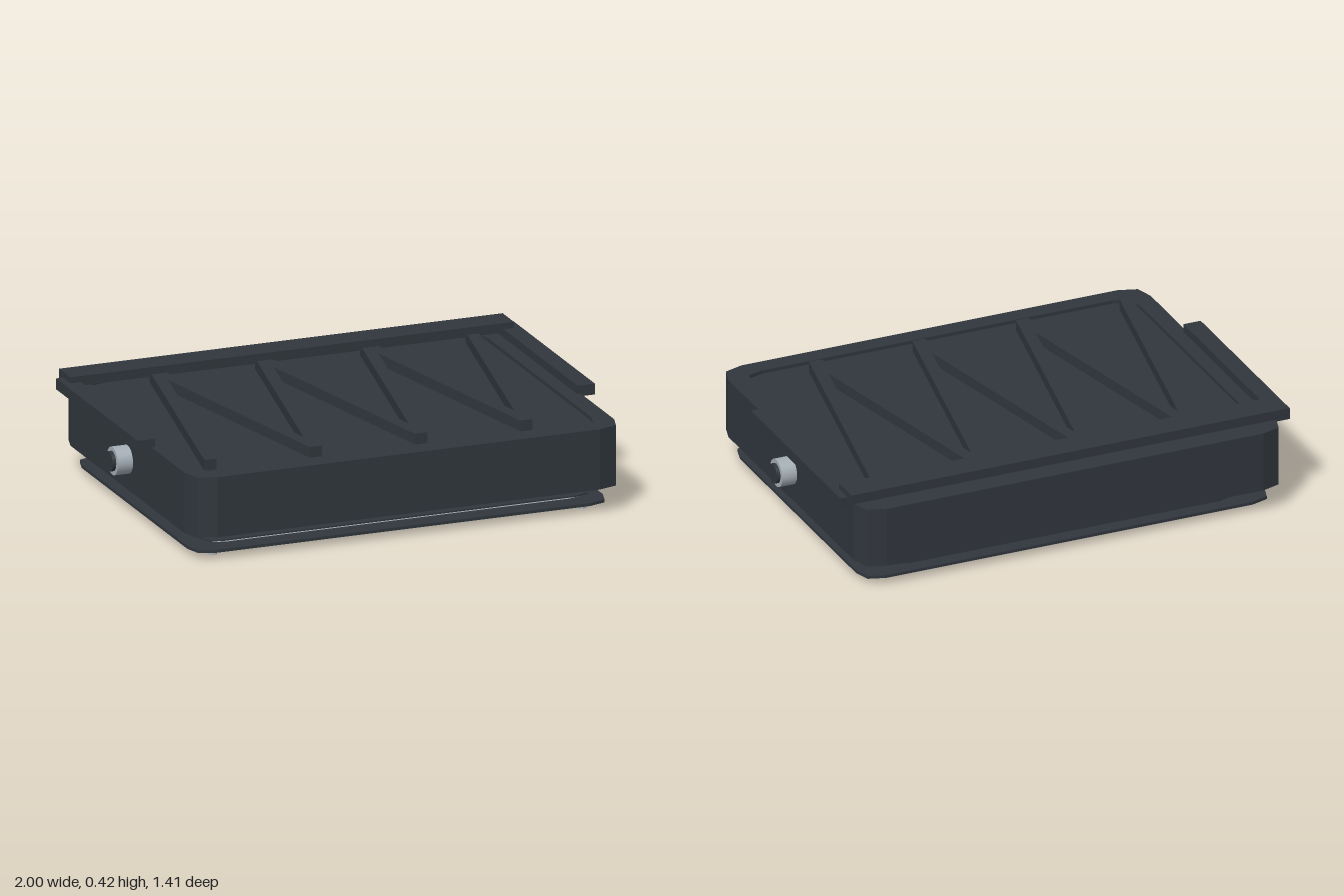
import * as THREE from 'three';

const DARK = new THREE.MeshStandardMaterial({ color: 0x30363d, flatShading: true });
const SILVER = new THREE.MeshStandardMaterial({ color: 0xa4adb5 });
const PALE = new THREE.MeshStandardMaterial({ color: 0xbcc0c3 });

// Corner-cut rectangle outline: hx, hz half sizes, each corner cut in two facets
function outline(hx, hz, c = 0.1, type = THREE.Shape) {
  const quarter = [[hx, hz - c], [hx - c * 0.22, hz - c * 0.25], [hx - c, hz]];
  const mirrored = quarter.slice().reverse();
  const pts = [
    ...quarter,
    ...mirrored.map(([x, z]) => [-x, z]),
    ...quarter.map(([x, z]) => [-x, -z]),
    ...mirrored.map(([x, z]) => [x, -z]),
  ];
  return new type(pts.map(([x, z]) => new THREE.Vector2(x, z)));
}

// Slab lying flat between heights y0 and y1
function slab(shape, y0, y1) {
  const g = new THREE.ExtrudeGeometry(shape, { depth: y1 - y0, bevelEnabled: false });
  return g.rotateX(-Math.PI / 2).translate(0, y0, 0);
}

function ring(outer, inner) {
  const s = outline(...outer);
  s.holes.push(outline(...inner, THREE.Path));
  return s;
}

export function createModel() {
  const model = new THREE.Group();
  const add = (name, geometry, material = DARK, parent = model) => {
    const mesh = new THREE.Mesh(geometry, material);
    mesh.name = name;
    parent.add(mesh);
    return mesh;
  };
  const box = (x0, x1, y0, y1, z0, z1) =>
    new THREE.BoxGeometry(x1 - x0, y1 - y0, z1 - z0)
      .translate((x0 + x1) / 2, (y0 + y1) / 2, (z0 + z1) / 2);

  // Housing with a shallow recess on top
  add('housing', slab(outline(0.92, 0.705, 0.1), 0.108, 0.345));
  add('topRim', slab(ring([0.92, 0.705, 0.1], [0.845, 0.63, 0.08]), 0.345, 0.36));

  // Zigzag ribs: seven slanted bars between front and rear tips
  const ribs = new THREE.Group();
  ribs.name = 'zigzagRibs';
  model.add(ribs);
  const w = 0.026, zTip = 0.57;
  for (let i = 0; i < 7; i++) {
    const x0 = -0.795 + 0.2257 * i, x1 = x0 + 0.2257;
    const s = i % 2 ? 1 : -1; // shape y is -z
    const bar = new THREE.Shape([
      new THREE.Vector2(x0 - w, s * zTip), new THREE.Vector2(x0 + w, s * zTip),
      new THREE.Vector2(x1 + w, -s * zTip), new THREE.Vector2(x1 - w, -s * zTip),
    ]);
    add('rib', slab(bar, 0.34, 0.39), DARK, ribs);
  }

  // Rear crossbar and side rails
  add('rearBar', box(-0.95, 0.95, 0.38, 0.42, -0.65, -0.53));
  for (const s of [-1, 1]) {
    const a = s * 0.905, b = s * 0.98;
    add('sideRail', box(Math.min(a, b), Math.max(a, b), 0.35, 0.395, -0.61, 0.255));

    // Pivot: bright sleeve with a dark core
    const axle = (r, x) => new THREE.CylinderGeometry(r, r, x - 0.9, 32)
      .rotateZ(Math.PI / 2).translate(s * (x + 0.9) / 2, 0.235, 0);
    add('pivotSleeve', axle(0.058, 0.985), SILVER);
    add('pivotCore', axle(0.041, 1.0));
  }

  // Stacked lower layers: seal, gasket, glass, mask and front frame
  add('sealStrip', slab(ring([0.79, 0.575, 0.06], [0.76, 0.545, 0.05]), 0.098, 0.108), SILVER);
  add('gasket', slab(ring([0.83, 0.605, 0.07], [0.77, 0.55, 0.06]), 0.055, 0.061));
  add('glass', slab(outline(0.8, 0.59, 0.06), 0.046, 0.05), PALE);
  add('mask', slab(outline(0.755, 0.125, 0.08), 0.038, 0.054).translate(0, 0, -0.467));
  add('lowerFrame', slab(ring([0.89, 0.65, 0.09], [0.79, 0.565, 0.07]), 0.025, 0.037));

  // Corner screws
  for (const x of [-0.79, 0.79]) {
    for (const z of [-0.582, 0.582]) {
      add('screw', new THREE.CylinderGeometry(0.017, 0.017, 0.012, 16).translate(x, 0.006, z), SILVER);
      add('screwShank', new THREE.CylinderGeometry(0.008, 0.008, 0.016, 10).translate(x, 0.018, z), SILVER);
    }
  }
  return model;
}
